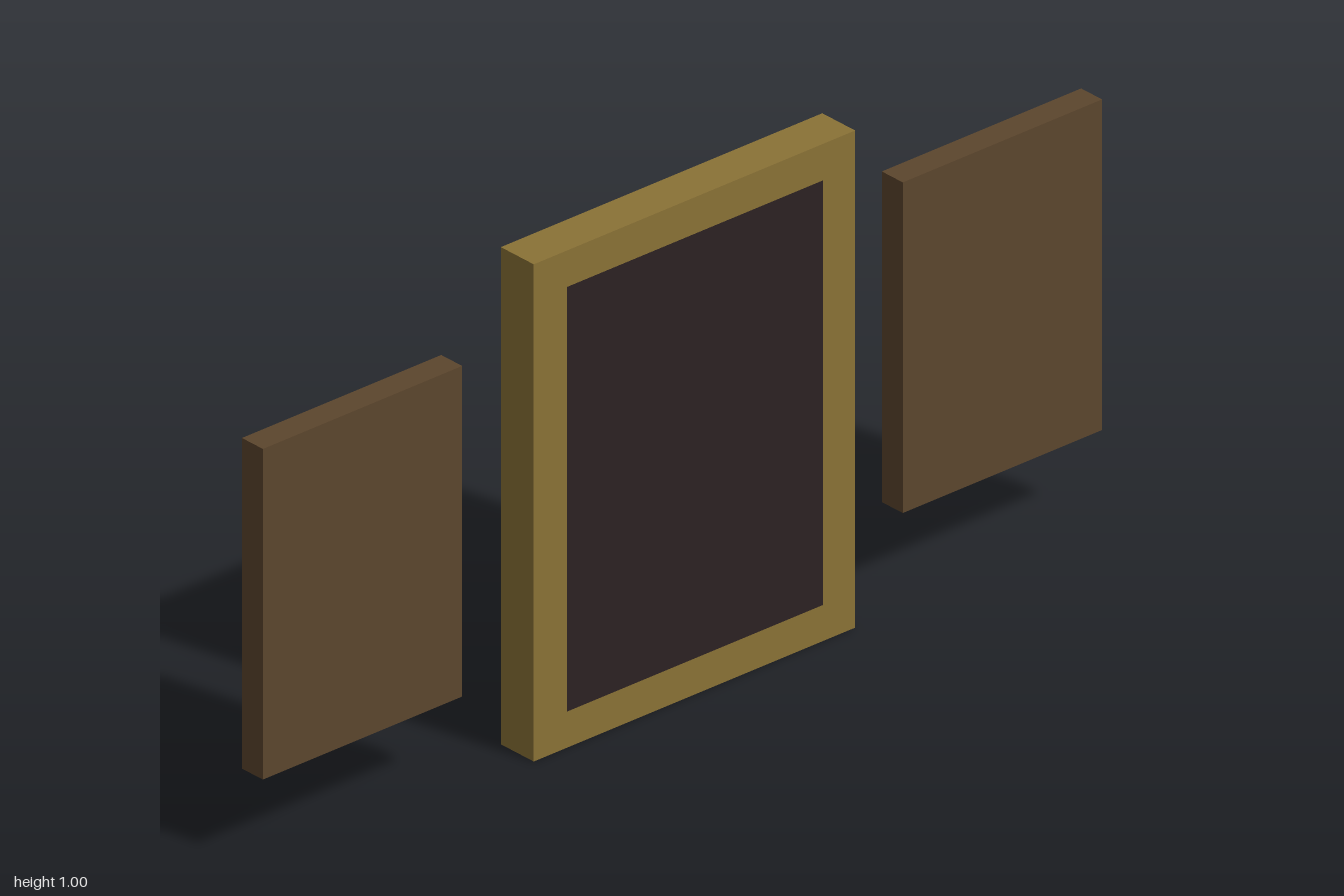
import * as THREE from 'three';

const material = (name, color) =>
  new THREE.MeshStandardMaterial({ name, color, side: THREE.DoubleSide });

// Shallow tray: a box without its back face
function tray(name, mat, width, y0, y1, z0, z1) {
  const geometry = new THREE.BoxGeometry(width, y1 - y0, z1 - z0);
  geometry.setIndex(Array.from(geometry.index.array).slice(0, 30));
  geometry.clearGroups();
  const mesh = new THREE.Mesh(geometry, mat);
  mesh.name = name;
  mesh.position.set(0, (y0 + y1) / 2, (z0 + z1) / 2);
  return mesh;
}

export function createModel() {
  const gold = material('agedGold', 0x8a7236);
  const brown = material('darkWood', 0x5c462d);
  const dark = material('darkCanvas', 0x2c2122);

  const model = new THREE.Group();
  model.name = 'wallPictures';

  // Large central frame, hollow at the back
  model.add(tray('centralFrame', gold, 0.766, 0, 1, -0.045, 0.043));

  // Thin canvas on the face of the central frame
  const canvas = new THREE.Mesh(new THREE.PlaneGeometry(0.61, 0.854), dark);
  canvas.name = 'canvas';
  canvas.position.set(0, 0.501, 0.045);
  model.add(canvas);

  // Smaller panels on both sides, flush with the back of the frame
  for (const side of [-1, 1]) {
    const panel = tray(side > 0 ? 'leftPanel' : 'rightPanel', brown, 0.475, 0.168, 0.833, -0.045, 0.011);
    panel.position.x = side * 0.7625;
    model.add(panel);
  }
  return model;
}
